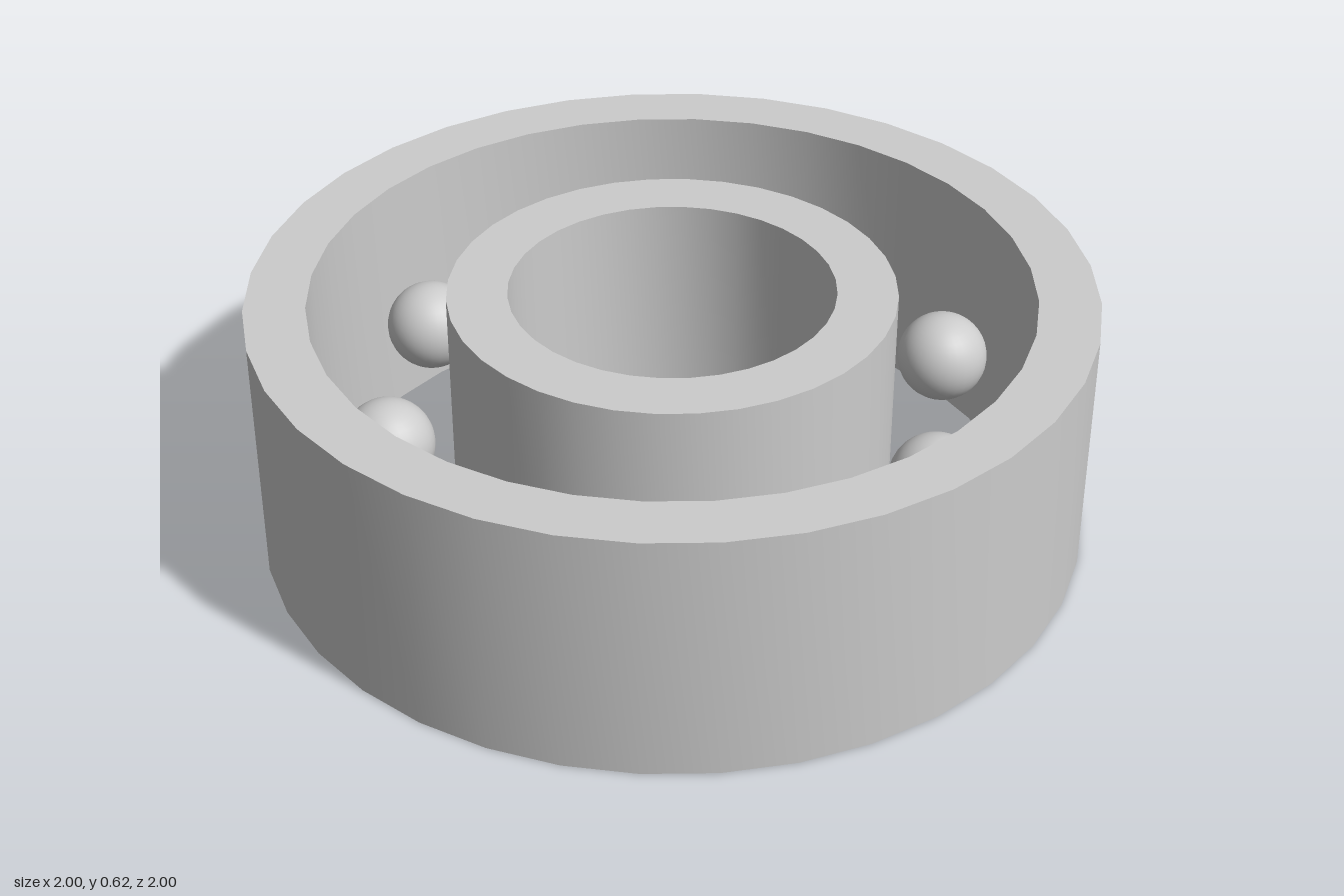
import * as THREE from 'three';
import { toCreasedNormals } from 'three/addons/utils/BufferGeometryUtils.js';

const HEIGHT = 0.62;
const BALL_COUNT = 8;
const BALL_RADIUS = 0.11;
const BALL_ORBIT = 0.693;

// Square-section ring standing on y = 0, with sharp rims and smooth walls
function makeRing(name, innerRadius, outerRadius, material) {
  const profile = [
    [outerRadius, 0],
    [outerRadius, HEIGHT],
    [innerRadius, HEIGHT],
    [innerRadius, 0],
    [outerRadius, 0],
  ].map(([r, y]) => new THREE.Vector2(r, y));
  const geometry = toCreasedNormals(new THREE.LatheGeometry(profile, 36), Math.PI / 6);
  const ring = new THREE.Mesh(geometry, material);
  ring.name = name;
  return ring;
}

export function createModel() {
  const model = new THREE.Group();
  model.name = 'ballBearing';

  const steel = new THREE.MeshStandardMaterial({ color: 0xcccccc });
  steel.name = 'steel grey';

  // Inner and outer races
  model.add(makeRing('outerRing', 0.855, 1, steel));
  model.add(makeRing('innerRing', 0.387, 0.53, steel));

  // Balls spaced evenly at mid height between the races
  const balls = new THREE.Group();
  balls.name = 'balls';
  const ballGeometry = new THREE.SphereGeometry(BALL_RADIUS, 32, 20);
  for (let i = 0; i < BALL_COUNT; i++) {
    const angle = (i / BALL_COUNT) * Math.PI * 2;
    const ball = new THREE.Mesh(ballGeometry, steel);
    ball.name = `ball${i + 1}`;
    ball.position.set(Math.cos(angle) * BALL_ORBIT, HEIGHT / 2, Math.sin(angle) * BALL_ORBIT);
    balls.add(ball);
  }
  model.add(balls);

  return model;
}
